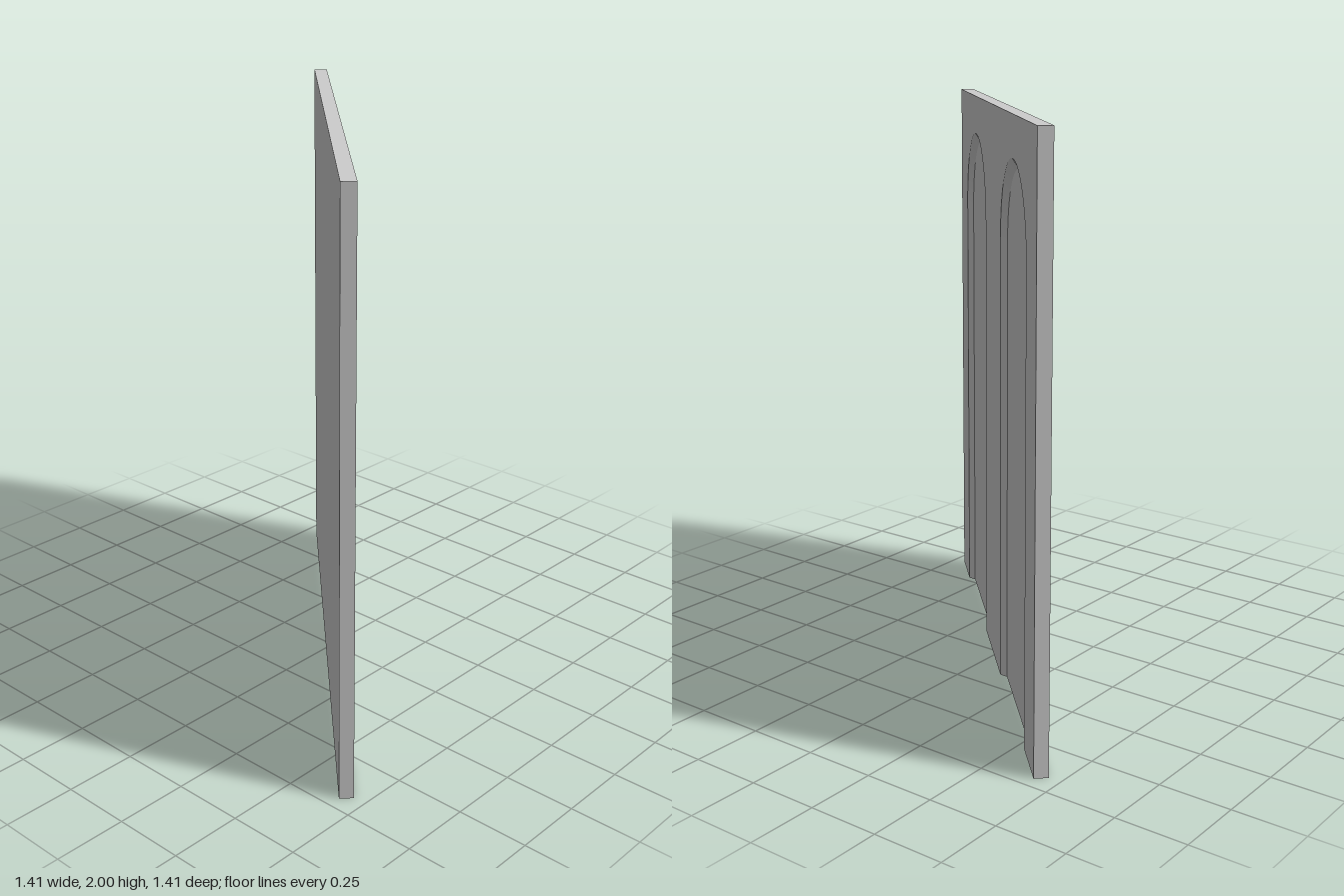
import * as THREE from 'three';
import { toCreasedNormals } from 'three/addons/utils/BufferGeometryUtils.js';

const HALF = 0.4865;         // half width of one panel
const HEIGHT = 2;
const BACK = -0.024, FRONT = 0.024;
const DEPTH = 0.021;         // niche depth
const OUTER = 0.288, INNER = 0.267;          // arch radius at the face / at the niche floor
const SPRING = 1.575, INNER_SPRING = 1.561;  // height where the arch begins

// Panel face with an arched opening that narrows toward the niche floor
function facingGeometry() {
  const s = new THREE.Shape();
  s.moveTo(-HALF, 0);
  s.lineTo(-OUTER, 0);
  s.lineTo(-OUTER, SPRING);
  s.absarc(0, SPRING, OUTER, Math.PI, 0, true);
  s.lineTo(OUTER, 0);
  s.lineTo(HALF, 0);
  s.lineTo(HALF, HEIGHT);
  s.lineTo(-HALF, HEIGHT);
  s.closePath();
  const g = new THREE.ExtrudeGeometry(s, { depth: DEPTH, bevelEnabled: false, curveSegments: 32 });

  // Pull the rear rim of the opening inward for the splayed reveal
  const p = g.attributes.position;
  const k = INNER / OUTER;
  for (let i = 0; i < p.count; i++) {
    if (p.getZ(i) > DEPTH / 2 || Math.abs(p.getX(i)) > OUTER + 0.001) continue;
    const y = p.getY(i);
    p.setX(i, p.getX(i) * k);
    if (y > SPRING - 0.001) p.setY(i, INNER_SPRING + (y - SPRING) * k);
  }
  g.translate(0, 0, FRONT - DEPTH);
  g.deleteAttribute('normal');
  return toCreasedNormals(g, Math.PI / 6);
}

export function createModel() {
  const model = new THREE.Group();
  model.name = 'archedWall';
  const stone = new THREE.MeshStandardMaterial({ color: 0xcccccc });
  stone.name = 'lightGrey';

  const facing = facingGeometry();
  const slabDepth = FRONT - DEPTH - BACK;
  const slab = new THREE.BoxGeometry(HALF * 2, HEIGHT, slabDepth);
  slab.translate(0, HEIGHT / 2, BACK + slabDepth / 2);

  // Two identical panels side by side
  for (const side of [-1, 1]) {
    const panel = new THREE.Group();
    panel.name = side < 0 ? 'rightPanel' : 'leftPanel';
    panel.position.x = side * HALF;
    const front = new THREE.Mesh(facing, stone);
    front.name = 'archedFacing';
    const back = new THREE.Mesh(slab, stone);
    back.name = 'backSlab';
    panel.add(front, back);
    model.add(panel);
  }

  // The wall stands diagonally
  model.rotation.y = Math.PI / 4;
  return model;
}
